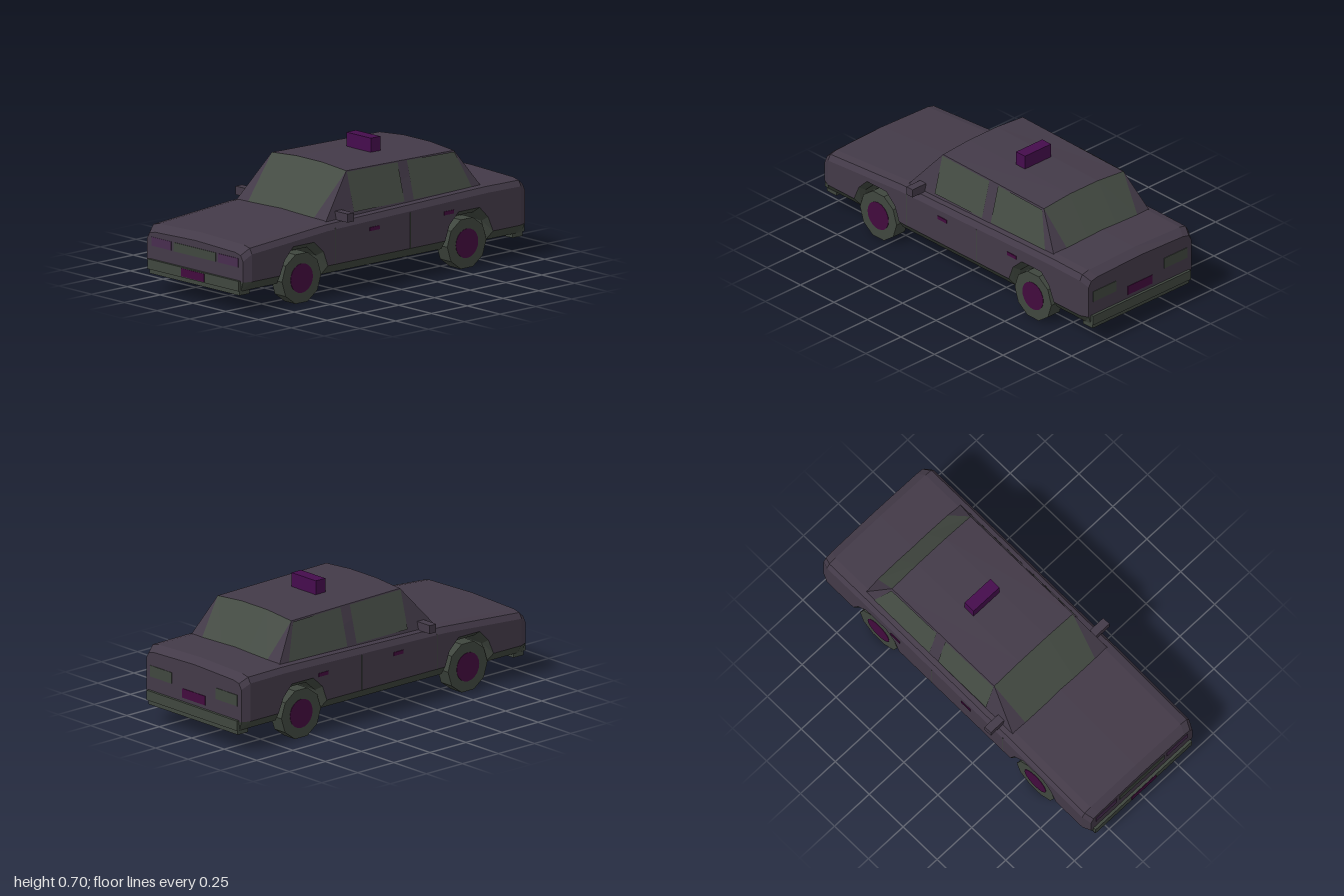
import * as THREE from 'three';

const mat = (name, color) => {
  const m = new THREE.MeshStandardMaterial({ color, flatShading: true, side: THREE.DoubleSide });
  m.name = name;
  return m;
};

// Linear interpolation through [z, value] pairs listed front to back
const along = (pts, z) => {
  for (let i = 0; i < pts.length - 1; i++) {
    const [z0, a] = pts[i], [z1, b] = pts[i + 1];
    if (z <= z0 && z >= z1) return a + (b - a) * (z0 - z) / (z0 - z1);
  }
  return pts[pts.length - 1][1];
};

const surface = (faces) => {
  // Each face is a convex loop of [x, y, z] corners, anticlockwise from outside
  const pos = [];
  for (const f of faces) for (let i = 1; i < f.length - 1; i++) pos.push(...f[0], ...f[i], ...f[i + 1]);
  const g = new THREE.BufferGeometry();
  g.setAttribute('position', new THREE.Float32BufferAttribute(pos, 3));
  g.computeVertexNormals();
  return g;
};

// Quads between successive rings running front to back
const loft = (rings, capped) => {
  const faces = [];
  for (let i = 0; i < rings.length - 1; i++)
    for (let j = 0; j < rings[i].length - 1; j++)
      faces.push([rings[i][j], rings[i + 1][j], rings[i + 1][j + 1], rings[i][j + 1]]);
  if (capped) faces.push(rings[0], [...rings[rings.length - 1]].reverse());
  return surface(faces);
};

const mirrorRing = (half) => [...half, ...half.filter(p => p[0] > 0).reverse().map(([x, y, z]) => [-x, y, z])];

export function createModel() {
  const car = new THREE.Group();
  const paint = mat('body paint', 0x433a48);
  const trim = mat('dark trim', 0x3f463e);
  const glass = mat('glass', 0x454c44);
  const signMat = mat('sign purple', 0x450c4d);
  const accent = mat('hub purple', 0x420a3d);
  const lamp = mat('headlamp', 0x472c4e);

  const add = (name, geo, m) => {
    const mesh = new THREE.Mesh(geo, m);
    mesh.name = name;
    car.add(mesh);
    return mesh;
  };
  const box = (name, m, x0, x1, y0, y1, z0, z1) =>
    add(name, new THREE.BoxGeometry(x1 - x0, y1 - y0, z1 - z0), m)
      .position.set((x0 + x1) / 2, (y0 + y1) / 2, (z0 + z1) / 2);

  // Lower edge: inner z, y and outer z, y, with both wheel arches
  const arch = [[.73, .12, .745, .17], [.70, .225, .71, .25], [.64, .28, .65, .31],
    [.52, .28, .505, .31], [.455, .225, .44, .25], [.42, .12, .41, .17]];
  const rear = [...arch].reverse().map(([a, b, c, d]) => [-a, b, -c, d]);
  const edge = [[.98, .12, .985, .17], [.94, .12, .94, .17], ...arch, ...rear,
    [-.94, .12, -.94, .17], [-.98, .12, -.985, .17]];
  const topLine = [[.985, .32], [.94, .355], [.39, .395], [-.7, .418], [-.94, .415], [-.985, .385]];
  const widthLine = [[.985, .365], [.94, .385], [-.94, .385], [-.985, .365]];

  // Painted lower body and the tapered trim with the underside and wheel tunnels
  add('lowerBody', loft(edge.map(([, , z, y]) => {
    const t = along(topLine, z), w = along(widthLine, z);
    return mirrorRing([[w, y, z], [w, t - .04, z], [w - .018, t - .01, z], [w - .06, t, z], [0, t + .01, z]]);
  }), true), paint);
  add('sillAndUnderside', loft(edge.map(([zi, yi, zo, yo]) => {
    const w = along(widthLine, zo);
    return [[-w, yo, zo], [-.345, yi, zi], [.345, yi, zi], [w, yo, zo]];
  }), true), trim);

  // Cabin rows: windscreen base, roof front, roof rear, rear window base
  const row = (x, xi, yEdge, yMid, z) => [[x, yEdge, z], [xi, yMid, z], [-xi, yMid, z], [-x, yEdge, z]];
  const rows = [row(.25, .1, .39, .396, .39), row(.283, .1, .62, .634, .188),
    row(.283, .1, .608, .624, -.565), row(.25, .1, .415, .42, -.705)];
  add('windscreen', loft(rows.slice(0, 2)), glass);
  add('roof', loft(rows.slice(1, 3)), paint);
  add('rearWindow', loft(rows.slice(2, 4)), glass);

  // Cabin sides with corner pillars
  const frontBase = [.342, .385, .388], rearBase = [.342, .405, -.703];
  const sides = [[rows[0][0], frontBase, rows[1][0]], [frontBase, rearBase, rows[2][0], rows[1][0]],
    [rearBase, rows[3][0], rows[2][0]]];
  const flip = f => f.map(([x, y, z]) => [-x, y, z]).reverse();
  add('cabinSides', surface([...sides, ...sides.map(flip)]), paint);

  // Side windows, laid just outside the sloping cabin sides
  const panes = {
    frontSideWindow: [[.188, .412], [-.165, .412], [-.165, .61], [.188, .615]],
    rearSideWindow: [[-.23, .412], [-.635, .414], [-.56, .603], [-.23, .61]],
  };
  for (const [name, pts] of Object.entries(panes)) {
    const f = pts.map(([z, y]) => [.347 - .059 * (y - .395) / .22, y, z]);
    add(name + 'Left', surface([f]), glass);
    add(name + 'Right', surface([flip(f)]), glass);
  }

  // Bumpers, front and rear
  for (const s of [1, -1]) {
    const z = (a, b) => s > 0 ? [a, b] : [-b, -a];
    box('bumper', trim, -.347, .347, .122, .175, ...z(.975, 1));
    box('bumperLip', trim, -.343, .343, .098, .132, ...z(.92, .99));
  }

  // Face details
  box('grille', trim, -.16, .16, .245, .292, .981, .988);
  box('frontPlate', accent, -.088, .088, .127, .17, .997, 1.002);
  box('rearPlate', accent, -.088, .088, .195, .245, -.988, -.981);

  // Parts repeated on both sides
  for (const s of [1, -1]) {
    const x = (a, b) => s > 0 ? [a, b] : [-b, -a];
    box('headlamp', lamp, ...x(.18, .33), .245, .292, .981, .988);
    box('tailLamp', trim, ...x(.17, .335), .25, .31, -.988, -.981);
    box('mirror', paint, ...x(.33, .427), .39, .435, .265, .31);
    for (const z of [.355, -.167]) box('doorSeam', trim, ...x(.382, .3865), .17, .36, z - .002, z + .002);
    for (const z of [.085, -.435]) box('doorHandle', accent, ...x(.381, .389), .308, .327, z - .034, z + .034);

    // Ten-sided wheels standing on a flat, with round hubs
    for (const z of [.58, -.575]) {
      const tyre = new THREE.CylinderGeometry(.1367, .1367, .083, 10).rotateY(Math.PI / 10).rotateZ(Math.PI / 2);
      // A flat facet faces the ground
      tyre.rotateX(Math.PI / 10 * (hasFlatBottom(tyre) ? 0 : 1));
      add('tyre', tyre, trim).position.set(s * .3285, .13, z);
      add('hub', new THREE.CylinderGeometry(.078, .078, .087, 20).rotateZ(Math.PI / 2), accent)
        .position.set(s * .3285, .13, z);
    }
  }

  // Roof sign
  box('roofSign', signMat, -.093, .093, .62, .704, -.224, -.158);
  return car;
}

// True when no corner of the wheel points straight down
function hasFlatBottom(geo) {
  geo.computeBoundingBox();
  return geo.boundingBox.min.y > -.135;
}
